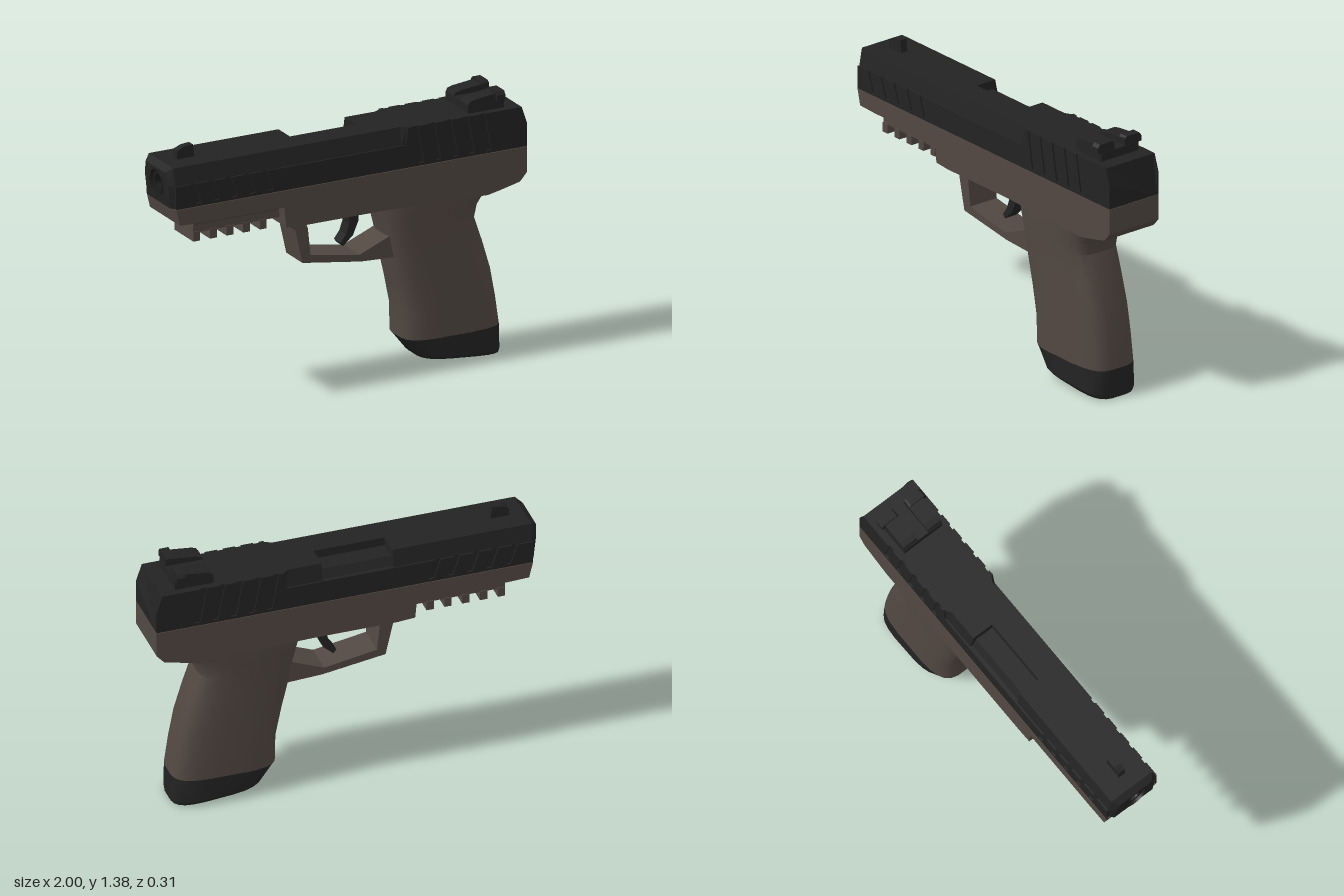
import * as THREE from 'three';
import { toCreasedNormals } from 'three/addons/utils/BufferGeometryUtils.js';

const dark = new THREE.MeshStandardMaterial({ color: 0x232323 });
dark.name = 'blackSteel';
const brown = new THREE.MeshStandardMaterial({ color: 0x524842 });
brown.name = 'brownPolymer';
const bore = new THREE.MeshStandardMaterial({ color: 0x1c1c1c, side: THREE.DoubleSide });
bore.name = 'boreBlack';

const V = (x, y, z) => new THREE.Vector3(x, y, z);
const shapeOf = (pts) => new THREE.Shape(pts.map(([a, b]) => new THREE.Vector2(a, b)));

// Side profile in x, y extruded between two z values
function slab(pts, z0, z1) {
  return new THREE.ExtrudeGeometry(shapeOf(pts), { depth: z1 - z0, bevelEnabled: false }).translate(0, 0, z0);
}

// Cross-section in -z, y extruded along x
function bar(pts, x0, x1) {
  return new THREE.ExtrudeGeometry(shapeOf(pts), { depth: x1 - x0, bevelEnabled: false })
    .rotateY(Math.PI / 2).translate(x0, 0, 0);
}

// Skin joining rings of equal point count, wound outward, with flat caps
function loft(rings, capStart = true, capEnd = true) {
  const tris = [];
  const n = rings[0].length;
  for (let r = 0; r < rings.length - 1; r++) {
    for (let i = 0; i < n; i++) {
      const j = (i + 1) % n, A = rings[r], B = rings[r + 1];
      tris.push([A[i], A[j], B[j]], [A[i], B[j], B[i]]);
    }
  }
  const cap = (ring, flip) => {
    for (let i = 1; i < n - 1; i++) {
      tris.push(flip ? [ring[0], ring[i + 1], ring[i]] : [ring[0], ring[i], ring[i + 1]]);
    }
  };
  if (capStart) cap(rings[0], true);
  if (capEnd) cap(rings[rings.length - 1], false);
  const mid = V(0, 0, 0);
  rings.flat().forEach((p) => mid.add(p));
  mid.divideScalar(n * rings.length);
  let volume = 0;
  for (const [a, b, c] of tris) {
    volume += a.clone().sub(mid).dot(b.clone().sub(mid).cross(c.clone().sub(mid)));
  }
  const pts = tris.flatMap(([a, b, c]) => (volume < 0 ? [a, c, b] : [a, b, c]));
  const geo = new THREE.BufferGeometry().setFromPoints(pts);
  geo.computeVertexNormals();
  return geo;
}

// Rounded grip cross-section: front x, rear x, half width, front y, rear y
function gripRing([xf, xr, w, yf, yr = yf]) {
  const soft = (v) => Math.sign(v) * Math.abs(v) ** 0.55;
  return Array.from({ length: 24 }, (_, i) => {
    const a = ((i + 0.5) / 24) * Math.PI * 2, u = soft(Math.cos(a));
    const t = (u + 1) / 2;
    return V(xf + (xr - xf) * t, yf + (yr - yf) * t, w * soft(Math.sin(a)));
  });
}

// Slide cross-section: half width, half width of top, top height, x by height
function slideRing(w, top, h, xAt) {
  return [[-w, 1.08], [w, 1.08], [w, 1.2], [top, h], [-top, h], [-w, 1.2]]
    .map(([z, y]) => V(xAt(y), y, z));
}

export function createModel() {
  const model = new THREE.Group();
  const add = (name, geo, mat) => {
    const mesh = new THREE.Mesh(geo, mat);
    mesh.name = name;
    model.add(mesh);
    return mesh;
  };

  // Slide core in three lengths, leaving the port open at the top of one side
  const W = 0.147;
  const muzzleX = (y) => -1 + Math.abs(1.26 - y) * 0.11;
  const muzzle = slideRing(0.12, 0.1, 1.265, muzzleX);
  add('slideFront', loft([muzzle,
    slideRing(W, 0.128, 1.29, (y) => muzzleX(y) + 0.03),
    slideRing(W, 0.128, 1.29, () => -0.24)], false, true), dark);
  add('slidePort', bar([[-W, 1.08], [W, 1.08], [W, 1.2], [0.135, 1.2], [0.11, 1.245],
    [0.01, 1.245], [0.01, 1.29], [-0.128, 1.29], [-W, 1.2]], -0.24, 0.13), dark);
  add('slideRear', loft([
    slideRing(W, 0.128, 1.29, () => 0.13),
    slideRing(W, 0.128, 1.29, () => 0.3),
    slideRing(W, W, 1.29, () => 0.335),
    slideRing(W, W, 1.29, (y) => (y > 1.25 ? 0.97 : 1))]), dark);

  // Muzzle face and recessed barrel
  const face = shapeOf(muzzle.map((p) => [p.z, p.y]));
  face.holes.push(new THREE.Path().absarc(0, 1.185, 0.066, 0, Math.PI * 2, true));
  const faceGeo = new THREE.ShapeGeometry(face, 12);
  const fp = faceGeo.attributes.position;
  for (let i = 0; i < fp.count; i++) {
    fp.setXYZ(i, muzzleX(fp.getY(i)), fp.getY(i), fp.getX(i));
  }
  faceGeo.computeVertexNormals();
  add('muzzleFace', faceGeo, dark);
  const barrelProfile = [[0.067, -0.008], [0.067, 0.03], [0.056, 0.03], [0.056, 0.004],
    [0.038, 0.004], [0.038, 0.2], [0, 0.2]].map(([r, d]) => new THREE.Vector2(r, d));
  const barrel = toCreasedNormals(new THREE.LatheGeometry(barrelProfile, 24), 0.6);
  add('barrel', barrel.rotateZ(-Math.PI / 2).translate(-0.987, 1.185, 0), bore);

  // Slide side skins, with slanted grip grooves cut down from the top edge
  const groove = (x, top, w) => [[x, top], [x + 0.035, 1.095], [x + 0.035 + w, 1.095], [x + w, top]];
  for (const side of [1, -1]) {
    const edge = [[-0.965, 1.08], [-0.968, 1.2]];
    for (let i = 0; i < 5; i++) edge.push(...groove(-0.885 + i * 0.1, 1.2, 0.03));
    edge.push([0.32, 1.2], [0.335, 1.29]);
    for (let i = 0; i < 5; i++) edge.push(...groove(0.36 + i * 0.094, 1.29, 0.03));
    edge.push([0.97, 1.29], [1, 1.2], [1, 1.08]);
    const z = side > 0 ? [W, 0.156] : [-0.156, -W];
    add(side > 0 ? 'slideSkinLeft' : 'slideSkinRight', slab(edge.reverse(), ...z), dark);
  }

  // Sights
  add('frontSight', slab([[-0.89, 1.285], [-0.79, 1.285], [-0.8, 1.355], [-0.85, 1.35],
    [-0.885, 1.335]], -0.02, 0.02), dark);
  add('rearSightBase', slab([[0.69, 1.285], [0.89, 1.285], [0.89, 1.335], [0.69, 1.335]],
    -0.118, 0.118), dark);
  for (const s of [1, -1]) {
    const lobe = slab([[0.69, 1.33], [0.885, 1.33], [0.885, 1.375], [0.84, 1.37], [0.73, 1.358],
      [0.7, 1.35]], -0.043, 0.043);
    add('rearSightLobe', lobe.translate(0, 0, s * 0.076), dark);
    add('rearSightWing', bar([[0.033, 1.335], [0.138, 1.335], [0.138, 1.365], [0.125, 1.382],
      [0.045, 1.382], [0.033, 1.37]].map(([u, y]) => [u * s, y]), 0.842, 0.888), dark);
  }

  // Frame
  add('frame', slab([[-0.965, 1.078], [-0.945, 0.995], [-0.83, 0.99], [-0.36, 0.99],
    [-0.35, 0.885], [-0.26, 0.878], [0.2, 0.878], [0.78, 0.86], [0.84, 0.872],
    [0.96, 0.9], [1, 0.945], [1, 1.078]], -0.157, 0.157), brown);

  // Accessory rail and its teeth
  add('rail', bar([[-0.14, 0.995], [-0.095, 0.96], [-0.095, 0.92], [0.095, 0.92],
    [0.095, 0.96], [0.14, 0.995]], -0.84, -0.355), brown);
  for (let i = 0; i < 5; i++) {
    const tooth = new THREE.BoxGeometry(0.038, 0.05, 0.2);
    add('railTooth', tooth.translate(-0.82 + i * 0.093, 0.9, 0), brown);
  }

  // Trigger guard and trigger
  const guard = shapeOf([[-0.3, 0.885], [-0.26, 0.83], [-0.22, 0.652], [0.11, 0.603],
    [0.33, 0.592], [0.33, 0.885]]);
  guard.holes.push(new THREE.Path([[-0.21, 0.878], [0.24, 0.878], [0.27, 0.71], [0.1, 0.64],
    [-0.175, 0.687], [-0.19, 0.83]].map(([x, y]) => new THREE.Vector2(x, y))));
  add('triggerGuard', new THREE.ExtrudeGeometry(guard, { depth: 0.17, bevelEnabled: false })
    .translate(0, 0, -0.085), brown);
  add('trigger', slab([[0.06, 0.89], [0.068, 0.79], [0.05, 0.74], [0.02, 0.7], [0.035, 0.68],
    [0.09, 0.73], [0.12, 0.8], [0.125, 0.89]], -0.035, 0.035), dark);

  // Grip
  const grip = [[0.215, 0.85, 0.155, 0.9], [0.22, 0.81, 0.155, 0.86], [0.237, 0.765, 0.153, 0.8],
    [0.255, 0.75, 0.148, 0.73], [0.28, 0.795, 0.147, 0.6], [0.315, 0.84, 0.147, 0.45],
    [0.345, 0.868, 0.147, 0.3], [0.348, 0.89, 0.147, 0.15]];
  add('grip', toCreasedNormals(loft(grip.map(gripRing)), 0.5), brown);

  // Magazine base
  const base = [[0.348, 0.89, 0.147, 0.152], [0.425, 0.892, 0.147, 0.055, 0.02],
    [0.44, 0.89, 0.135, 0.04, 0]];
  add('magazineBase', toCreasedNormals(loft(base.map(gripRing)), 0.5), dark);

  return model;
}
